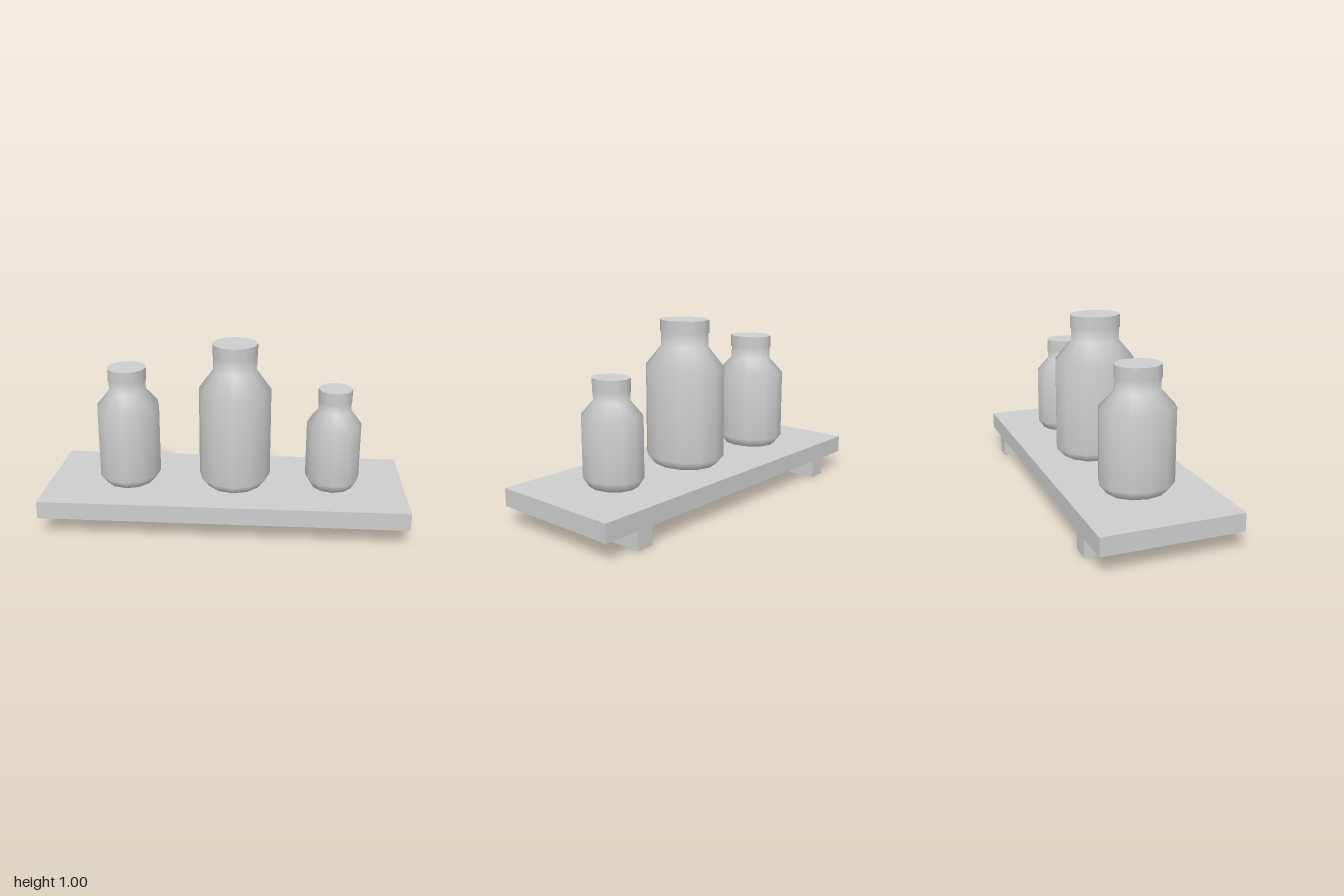
import * as THREE from 'three';

const SIDES = 12;
const SHELF_TOP = 0.197;
const DEPTH_RATIO = 1.15; // bottles are oval, deeper than wide

export function createModel() {
  const group = new THREE.Group();
  const grey = new THREE.MeshStandardMaterial({ color: 0xcccccc });
  grey.name = 'plain grey';

  function add(parent, name, geometry, x = 0, y = 0, z = 0) {
    const mesh = new THREE.Mesh(geometry, grey);
    mesh.name = name;
    mesh.position.set(x, y, z);
    parent.add(mesh);
    return mesh;
  }

  // Shelf board
  add(group, 'shelfBoard', new THREE.BoxGeometry(2, SHELF_TOP - 0.1, 0.746), 0, (SHELF_TOP + 0.1) / 2, 0);

  // Brackets under the board, flush with its back edge
  for (const side of [-1, 1]) {
    add(group, side > 0 ? 'leftBracket' : 'rightBracket',
      new THREE.BoxGeometry(0.1, 0.1, 0.52), side * 0.75, 0.05, -0.113);
  }

  // Bottle: turned body with chamfered foot, shoulder and neck, plus a flat cap
  function addBottle(name, { x, radius, neck, cap, shoulder, neckBase, capBase, top }) {
    const bottle = new THREE.Group();
    bottle.name = name;
    bottle.position.x = x;
    group.add(bottle);

    const profile = [
      [0, SHELF_TOP], [radius * 0.8, SHELF_TOP], [radius, 0.247], [radius, shoulder],
      [neck, neckBase], [neck, capBase + 0.01],
    ].map(([r, y]) => new THREE.Vector2(r, y));
    add(bottle, 'body', new THREE.LatheGeometry(profile, SIDES).scale(1, 1, DEPTH_RATIO));

    const lid = new THREE.CylinderGeometry(cap, cap, top - capBase, SIDES).scale(1, 1, DEPTH_RATIO);
    add(bottle, 'cap', lid, 0, (top + capBase) / 2, 0);
  }

  addBottle('mediumBottle', {
    x: -0.55, radius: 0.175, neck: 0.104, cap: 0.108,
    shoulder: 0.637, neckBase: 0.722, capBase: 0.785, top: 0.855,
  });
  addBottle('largeBottle', {
    x: 0.05, radius: 0.2, neck: 0.12, cap: 0.124,
    shoulder: 0.747, neckBase: 0.855, capBase: 0.93, top: 1,
  });
  addBottle('smallBottle', {
    x: 0.6, radius: 0.15, neck: 0.09, cap: 0.093,
    shoulder: 0.56, neckBase: 0.637, capBase: 0.686, top: 0.757,
  });

  return group;
}
